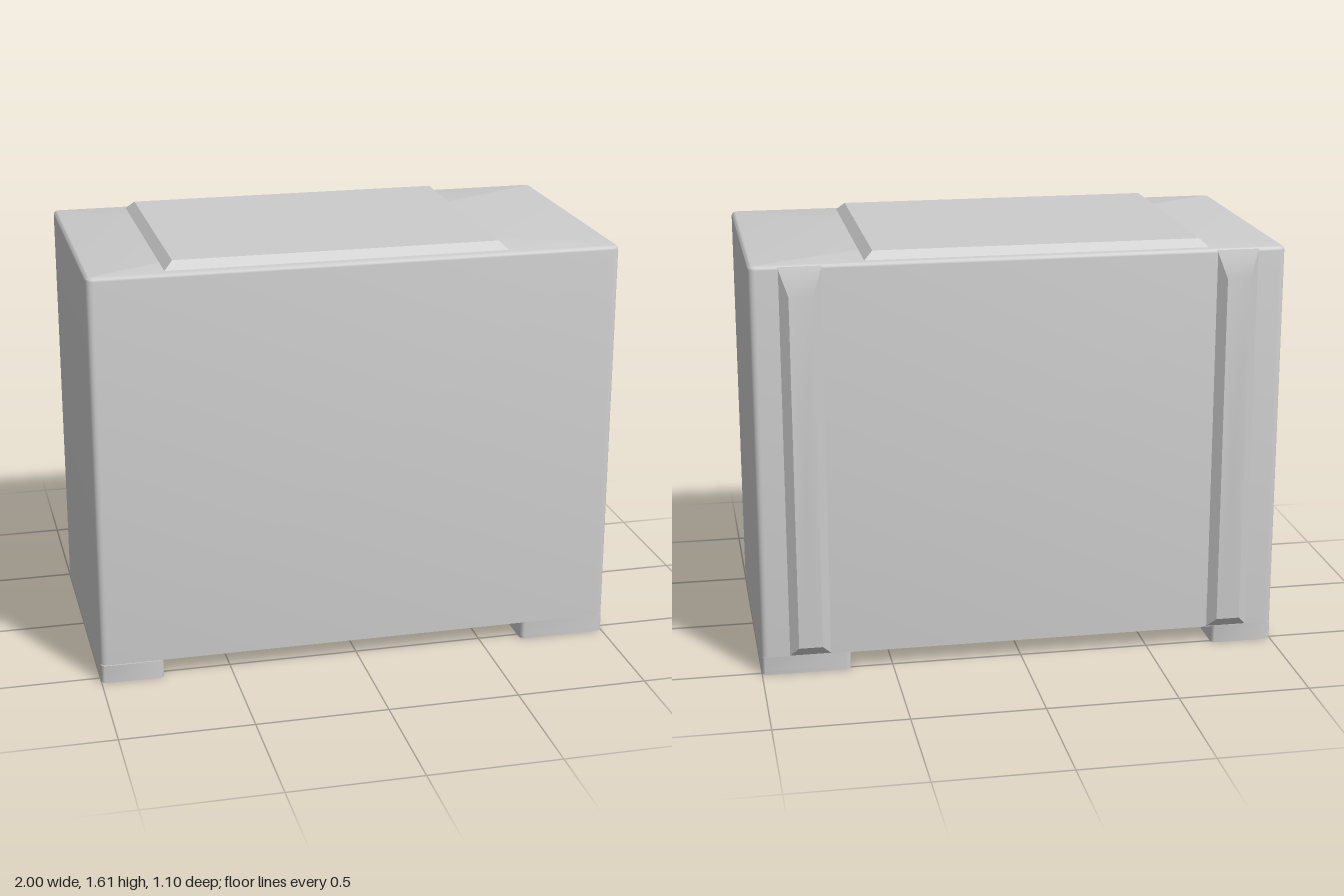
import * as THREE from 'three';
import { toCreasedNormals } from 'three/addons/utils/BufferGeometryUtils.js';

const material = new THREE.MeshStandardMaterial({ color: 0xcccccc });

// Rectangle in the xz plane at height y, corners rounded by r with seg steps
function ring(x0, x1, z0, z1, y, r = 0, seg = 0) {
  const points = [];
  const centres = [[x1 - r, z1 - r], [x0 + r, z1 - r], [x0 + r, z0 + r], [x1 - r, z0 + r]];
  centres.forEach(([cx, cz], q) => {
    for (let i = 0; i <= seg; i++) {
      const a = (q + (seg ? i / seg : 0)) * Math.PI / 2;
      points.push([cx + r * Math.cos(a), y, cz + r * Math.sin(a)]);
    }
  });
  return points;
}

// Skin a stack of rings and close both ends
function loft(rings) {
  const n = rings[0].length;
  const last = (rings.length - 1) * n;
  const middle = (p) => [0, 1, 2].map((k) => p.reduce((s, v) => s + v[k], 0) / n);
  const vertices = [...rings.flat(), middle(rings[0]), middle(rings[rings.length - 1])];
  const start = rings.length * n;
  const index = [];
  for (let j = 0; j < n; j++) {
    const k = (j + 1) % n;
    for (let i = 0; i < last; i += n) {
      index.push(i + j, i + n + j, i + k, i + k, i + n + j, i + n + k);
    }
    index.push(start, j, k, start + 1, last + k, last + j);
  }
  const geometry = new THREE.BufferGeometry();
  geometry.setAttribute('position', new THREE.Float32BufferAttribute(vertices.flat(), 3));
  geometry.setIndex(index);
  return toCreasedNormals(geometry, 0.6);
}

// Upright block with rounded vertical edges
function block(x0, x1, y0, y1, z0, z1) {
  return loft([ring(x0, x1, z0, z1, y0, 0.02, 4), ring(x0, x1, z0, z1, y1, 0.02, 4)]);
}

export function createModel() {
  const model = new THREE.Group();
  const add = (name, geometry) => {
    const mesh = new THREE.Mesh(geometry, material);
    mesh.name = name;
    model.add(mesh);
  };

  const back = -0.52, front = 0.543, underside = 0.07, top = 1.58;

  // Hollow body, open below: cavity ceiling, cavity wall, rim, outer wall, rounded top edge
  const cavity = (y) => ring(-0.7, 0.6, back + 0.03, front - 0.03, y, 0.003, 4);
  const outer = (y, inset) =>
    ring(-1 + inset, 1 - inset, back + inset, front - inset, y, 0.025 - inset, 4);
  const shell = [cavity(top - 0.03), cavity(underside), outer(underside, 0)];
  const bevel = 0.015;
  for (let i = 0; i <= 3; i++) {
    const a = i / 3 * Math.PI / 2;
    shell.push(outer(top - bevel + bevel * Math.sin(a), bevel * (1 - Math.cos(a))));
  }
  add('body', loft(shell));

  // Raised panel with sloping sides
  add('topPanel', loft([
    ring(-0.715, 0.58, -0.485, 0.505, top - 0.002),
    ring(-0.68, 0.545, -0.457, 0.473, 1.61),
  ]));

  // Bevelled ribs on the back
  for (const side of [-1, 1]) {
    const x = side * 0.815;
    const rib = loft([
      ring(x - 0.08, x + 0.08, 0.07, 1.575, 0.518),
      ring(x - 0.045, x + 0.045, 0.11, 1.47, 0.548),
    ]);
    add(side > 0 ? 'leftBackRib' : 'rightBackRib', rib.rotateX(-Math.PI / 2));
  }

  // Plain foot at one end, wider foot with two shallow pads at the other
  add('rightFoot', block(-1, -0.76, 0, underside, back, 0.548));
  add('leftFoot', block(0.66, 1, 0.013, underside, back, front));
  add('leftFootBackPad', block(0.66, 1, 0, 0.013, back, -0.355));
  add('leftFootFrontPad', block(0.66, 1, 0, 0.013, 0.375, front));

  return model;
}
